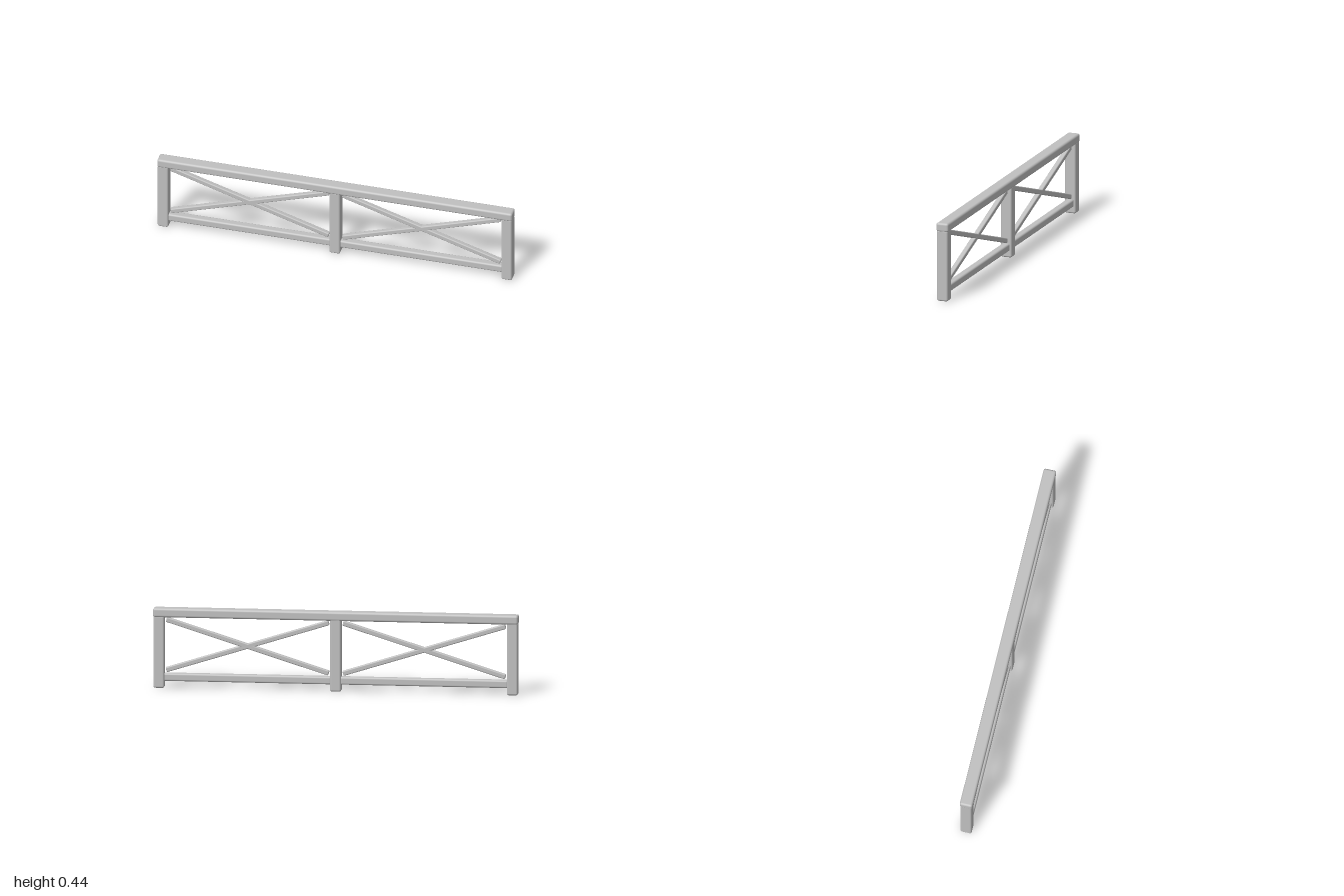
import * as THREE from 'three';
import { RoundedBoxGeometry } from 'three/addons/geometries/RoundedBoxGeometry.js';

export function createModel() {
  const group = new THREE.Group();
  const grey = new THREE.MeshStandardMaterial({ color: 0xc0c0c0 });
  grey.name = 'grey';

  // Beam with softly rounded edges
  function beam(name, w, h, d, r, x, y, angle = 0) {
    const mesh = new THREE.Mesh(new RoundedBoxGeometry(w, h, d, 3, r), grey);
    mesh.name = name;
    mesh.position.set(x, y, 0);
    mesh.rotation.z = angle;
    group.add(mesh);
  }

  // Handrail across the full length
  beam('topRail', 2, 0.05, 0.07, 0.012, 0, 0.415);

  // Three upright posts
  for (const x of [-0.968, 0, 0.968]) beam('post', 0.06, 0.4, 0.063, 0.01, x, 0.2);

  // Each bay: a low rail and a pair of crossed braces
  const run = 0.885, rise = 0.277;
  for (const side of [-1, 1]) {
    const x = side * 0.484;
    beam('bottomRail', 0.92, 0.043, 0.043, 0.01, x, 0.059);
    for (const dir of [-1, 1]) {
      beam('crossBrace', Math.hypot(run, rise) + 0.005, 0.027, 0.028, 0.006,
        x, 0.237, dir * Math.atan2(rise, run));
    }
  }
  return group;
}
